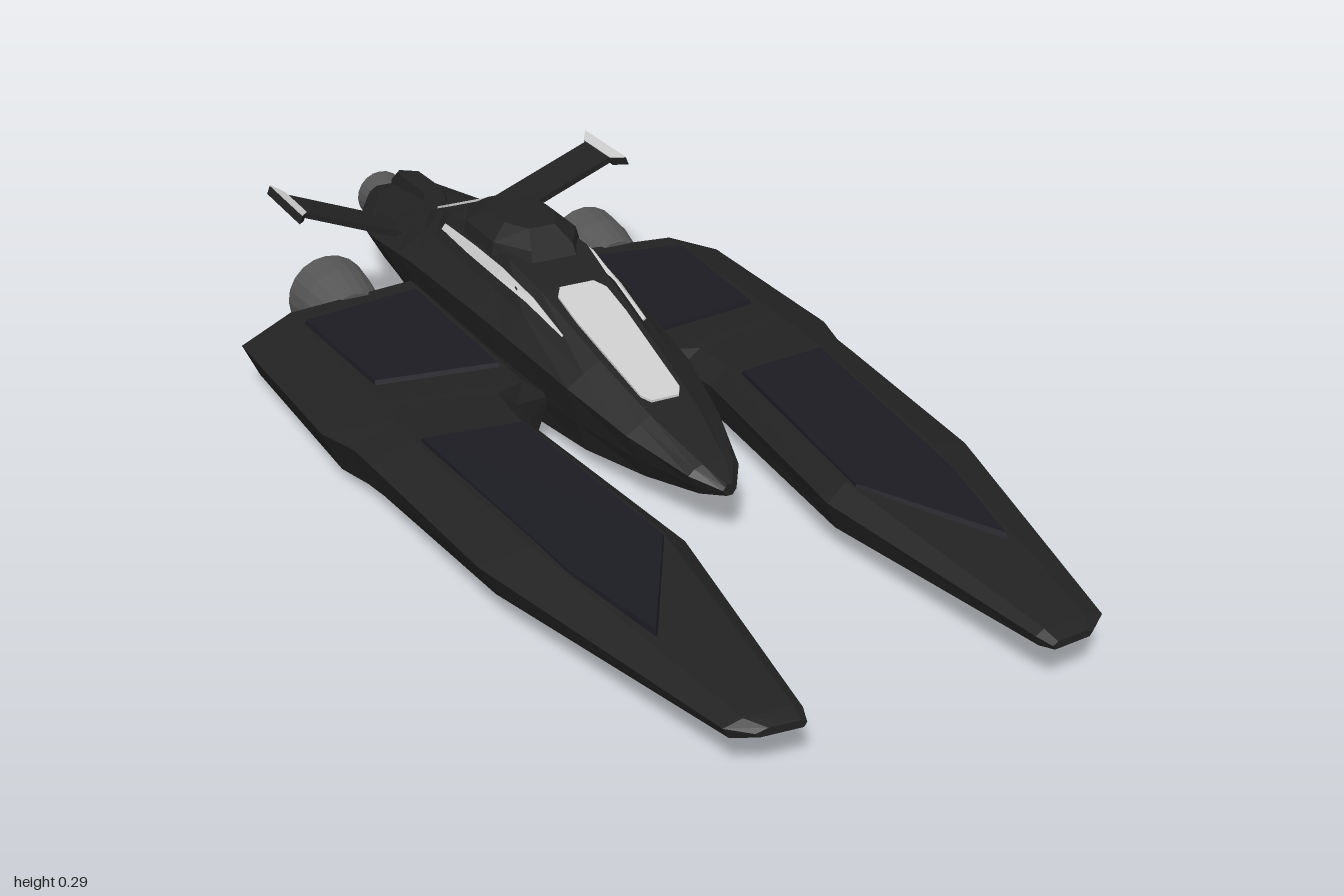
import * as THREE from 'three';
import { ConvexGeometry } from 'three/addons/geometries/ConvexGeometry.js';

const paint = (color) => new THREE.MeshStandardMaterial({ color, flatShading: true, side: THREE.DoubleSide });
const V = (x, y, z) => new THREE.Vector3(x, y, z);
const lerp = THREE.MathUtils.lerp;

// Skin counter-clockwise rings, ordered from front (+z) to back, and cap both ends
function loft(rings) {
  const pos = [];
  const tri = (...p) => p.forEach((v) => pos.push(v.x, v.y, v.z));
  const n = rings[0].length;
  for (let i = 0; i < rings.length - 1; i++) {
    for (let j = 0; j < n; j++) {
      const k = (j + 1) % n, a = rings[i], b = rings[i + 1];
      tri(a[j], b[j], a[k]);
      tri(b[j], b[k], a[k]);
    }
  }
  const first = rings[0], last = rings[rings.length - 1];
  for (let j = 1; j < n - 1; j++) {
    tri(first[0], first[j], first[j + 1]);
    tri(last[0], last[j + 1], last[j]);
  }
  const geo = new THREE.BufferGeometry();
  geo.setAttribute('position', new THREE.Float32BufferAttribute(pos, 3));
  geo.computeVertexNormals();
  return geo;
}

// Thin raised plate: top outline with a flared skirt below
function plate(points, height = 0.02, flare = 1.04) {
  const c = points.reduce((s, p) => s.add(p), V(0, 0, 0)).divideScalar(points.length);
  const low = points.map((p) => V(c.x + (p.x - c.x) * flare, p.y - height, c.z + (p.z - c.z) * flare));
  return new ConvexGeometry([...points, ...low]);
}

// Copy to the other side of x = 0 and restore the winding
function mirrored(geo) {
  const g = geo.index ? geo.toNonIndexed() : geo.clone();
  const p = g.attributes.position;
  for (let i = 0; i < p.count; i += 3) {
    const [a, b, c] = [0, 1, 2].map((k) => V(0, 0, 0).fromBufferAttribute(p, i + k));
    [a, c, b].forEach((v, k) => p.setXYZ(i + k, -v.x, v.y, v.z));
  }
  g.computeVertexNormals();
  return g;
}

// Fuselage: z, top half-width, y, shoulder, y, rim, y, keel, y
const HULL = [
  [0.43, 0.005, 0.105, 0.008, 0.1, 0.012, 0.095, 0.005, 0.085],
  [0.38, 0.02, 0.12, 0.035, 0.115, 0.045, 0.105, 0.025, 0.07],
  [0.25, 0.042, 0.152, 0.06, 0.14, 0.085, 0.125, 0.05, 0.045],
  [0.1, 0.055, 0.188, 0.085, 0.17, 0.115, 0.15, 0.08, 0.03],
  [-0.1, 0.065, 0.238, 0.1, 0.205, 0.135, 0.168, 0.1, 0.02],
  [-0.2, 0.075, 0.258, 0.105, 0.21, 0.145, 0.175, 0.1, 0.02],
  [-0.45, 0.075, 0.255, 0.105, 0.215, 0.155, 0.175, 0.1, 0.02],
  [-0.5, 0.065, 0.247, 0.105, 0.21, 0.16, 0.175, 0.1, 0.025],
  [-0.6, 0.052, 0.205, 0.09, 0.195, 0.16, 0.165, 0.09, 0.04],
  [-0.67, 0.04, 0.19, 0.08, 0.18, 0.152, 0.155, 0.085, 0.047],
  [-0.83, 0.03, 0.172, 0.06, 0.16, 0.098, 0.13, 0.06, 0.06],
  [-0.92, 0.03, 0.14, 0.045, 0.13, 0.055, 0.11, 0.035, 0.065],
  [-0.94, 0.022, 0.125, 0.035, 0.115, 0.04, 0.1, 0.025, 0.07],
];
function hullAt(z) {
  const i = HULL.findIndex((s) => s[0] <= z);
  const a = HULL[i - 1], b = HULL[i], t = (a[0] - z) / (a[0] - b[0]);
  return a.map((v, k) => lerp(v, b[k], t));
}
const onTop = ([x, z]) => V(x, hullAt(z)[2] + 0.004, z);

// Wing: outer z, inner z, outer x, inner x, edge y, top y, bottom y
const WING = [
  [0.985, 0.992, 0.275, 0.2, 0.073, 0.078, 0.066],
  [0.96, 0.965, 0.31, 0.19, 0.077, 0.085, 0.06],
  [0.46, 0.53, 0.43, 0.125, 0.09, 0.115, 0.042],
  [0.1, 0.1, 0.453, 0.165, 0.095, 0.125, 0.033],
  [0.04, 0.015, 0.457, 0.155, 0.095, 0.126, 0.026],
  [-0.04, 0.005, 0.48, 0.09, 0.092, 0.128, 0.022],
  [-0.425, -0.48, 0.48, 0.09, 0.09, 0.128, 0.025],
  [-0.45, -0.505, 0.45, 0.09, 0.075, 0.1, 0.04],
];
function wingRing([zo, zi, xo, xi, ye, yt, yb]) {
  const w = xo - xi;
  const at = (x, y) => V(x, y, lerp(zi, zo, (x - xi) / w));
  return [at(xo, ye), at(xo - 0.25 * w, yt), at(xi + 0.12 * w, yt),
    at(xi, ye), at(xi + 0.06 * w, yb), at(xo - 0.08 * w, yb)];
}

// Hollow flared exhaust with inner vanes, opening toward -z
function nozzle(name, r0, r1, len, mat, dark) {
  const g = new THREE.Group();
  g.name = name;
  const profile = [[0, 0], [r0, 0], [lerp(r0, r1, 0.75), len * 0.55], [r1, len], [r1 * 0.9, len],
    [r0 * 0.8, len * 0.35], [0, len * 0.35]].map(([x, y]) => new THREE.Vector2(x, y));
  const shell = new THREE.Mesh(new THREE.LatheGeometry(profile, 20).rotateX(-Math.PI / 2), mat);
  shell.name = 'nozzleShell';
  g.add(shell);
  for (let i = 0; i < 12; i++) {
    const vane = new THREE.Mesh(new THREE.BoxGeometry(r0 * 0.6, r0 * 0.06, len * 0.35)
      .translate(r0 * 0.6, 0, -len * 0.52).rotateZ((i * Math.PI) / 6), dark);
    vane.name = 'nozzleVane';
    g.add(vane);
  }
  return g;
}

export function createModel() {
  const model = new THREE.Group();
  model.name = 'spacecraft';
  const body = paint(0x222222), panel = paint(0x1b1b22), glass = paint(0xcccccc), metal = paint(0x555555);
  const core = new THREE.Group();
  core.name = 'fuselageGroup';
  core.position.x = 0.01;
  model.add(core);

  const add = (parent, name, geo, mat) => {
    const m = new THREE.Mesh(geo, mat);
    m.name = name;
    parent.add(m);
  };
  const pair = (parent, name, geo, mat) => {
    add(parent, name + 'Left', geo, mat);
    add(parent, name + 'Right', mirrored(geo), mat);
  };

  // Wings and their raised panels
  pair(model, 'wing', loft(WING.map(wingRing)), body);
  pair(model, 'frontWingPanel', plate([V(0.37, 0.132, 0.12), V(0.205, 0.132, 0.14), V(0.168, 0.119, 0.54),
    V(0.295, 0.107, 0.75), V(0.335, 0.115, 0.56)]), panel);
  pair(model, 'rearWingPanel', plate([V(0.36, 0.136, -0.1), V(0.15, 0.136, -0.07), V(0.15, 0.136, -0.42),
    V(0.375, 0.136, -0.38)]), panel);

  // Fuselage
  add(core, 'fuselage', loft(HULL.map(([z, a, yt, b, ys, w, ym, d, yb]) => {
    const half = [V(d, yb, z), V(lerp(d, w, 0.5), lerp(yb, ym, 0.45), z), V(w, ym, z), V(b, ys, z), V(a, yt, z)];
    return [...half, ...half.map((p) => V(-p.x, p.y, p.z)).reverse()];
  })), body);

  // Roof dome: long octagon stepping in toward the top
  const tier = (w, l, y) => [[1, 0.45], [0.5, 1], [-0.5, 1], [-1, 0.45], [-1, -0.45], [-0.5, -1], [0.5, -1], [1, -0.45]]
    .map(([x, z]) => V(x * w, y, z * l - 0.31));
  add(core, 'roofDome', new ConvexGeometry([...tier(0.085, 0.135, 0.25), ...tier(0.08, 0.125, 0.272),
    ...tier(0.05, 0.085, 0.297)]), body);

  // Tail ridge
  add(core, 'tailRidge', plate([V(0, 0.2, -0.64), V(0.02, 0.2, -0.7), V(0.02, 0.196, -0.82), V(0, 0.185, -0.87),
    V(-0.02, 0.196, -0.82), V(-0.02, 0.2, -0.7)], 0.035, 1.4), body);

  // Windows
  const pane = (half) => plate([...half, ...half.map(([x, z]) => [-x, z])].map(onTop), 0.008, 1);
  add(core, 'windshield', pane([[0.025, 0.222], [0.036, 0.205], [0.047, 0], [0.046, -0.07], [0.032, -0.092]]), glass);
  add(core, 'rearWindow', pane([[0.05, -0.505], [0.05, -0.565], [0.04, -0.588]]), glass);
  pair(core, 'sideWindow', loft([[0.01, 0.04], [-0.1, 0.14], [-0.2, 0.18], [-0.32, 0.18], [-0.44, 0.12]].map(([z, h]) => {
    const s = hullAt(z);
    const at = (t, out) => V(lerp(s[1], s[3], t) + out * 0.8, lerp(s[2], s[4], t) + out * 0.6, z);
    return [at(0.5 + h, -0.004), at(0.5 + h, 0.004), at(0.5 - h, 0.004), at(0.5 - h, -0.004)];
  })), glass);

  // Tail fins with tip plates
  const tilt = (geo) => geo.rotateZ(0.38).translate(0.13, 0.182, -0.615);
  pair(core, 'tailFin', tilt(new THREE.BoxGeometry(0.23, 0.011, 0.1).translate(0.09, 0, 0)), body);
  const tip = (y) => [V(0.215, y, 0.085), V(0.215, y, -0.085), V(0.195, y, -0.055), V(0.195, y, 0.055)];
  pair(core, 'finTip', tilt(plate(tip(0.006), 0.016, 1)), body);
  pair(core, 'finTipCap', tilt(plate(tip(0.008), 0.002, 1)), glass);

  // Engines
  for (const [side, x] of [['Left', 0.266], ['Right', -0.266]]) {
    const n = nozzle('engine' + side, 0.055, 0.077, 0.14, metal, body);
    n.position.set(x, 0.08, -0.448);
    core.add(n);
  }
  const tail = nozzle('tailEngine', 0.036, 0.05, 0.088, metal, body);
  tail.position.set(0.01, 0.087, -0.912);
  core.add(tail);
  return model;
}
